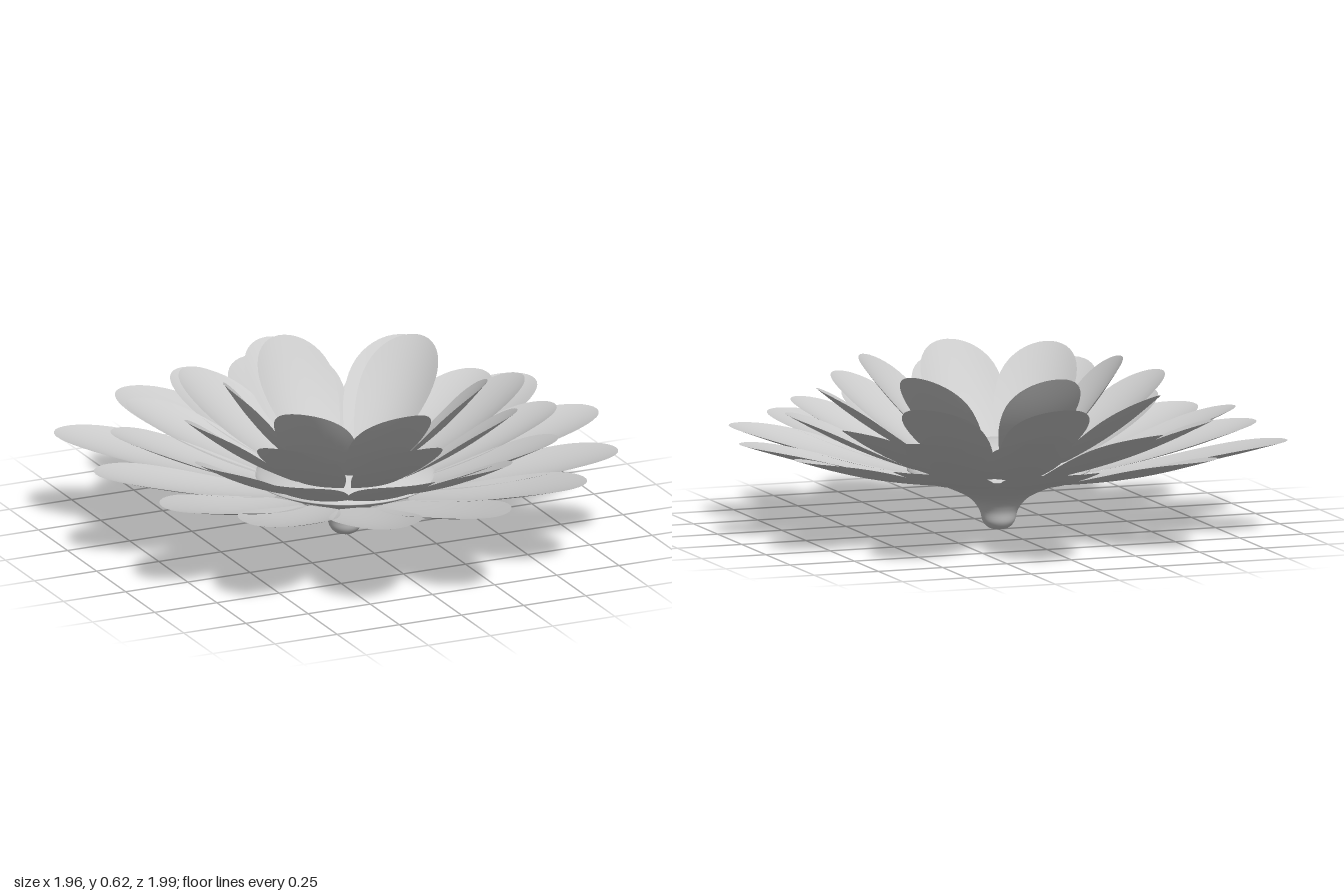
import * as THREE from 'three';

const material = new THREE.MeshStandardMaterial({ color: 0xcccccc, side: THREE.DoubleSide });

// Width along a petal: blunt base, widest past the middle, rounded tip
function outline(t) {
  const peak = 0.62;
  if (t > peak) return Math.sqrt(Math.max(0, 1 - ((t - peak) / (1 - peak)) ** 2));
  const body = 0.38 + 0.62 * Math.sin((t / peak) * Math.PI / 2);
  return body * Math.sqrt(Math.min(1, t / 0.06));
}

// Cupped petal running from a base point to a tip point
function petalGeometry(base, tip, halfWidth, cup, sag) {
  const along = tip.clone().sub(base);
  const side = new THREE.Vector3(-along.z, 0, along.x).normalize();
  const normal = side.clone().cross(along).normalize();
  if (normal.y < 0) normal.negate();
  const rows = 24, cols = 12;
  const geometry = new THREE.PlaneGeometry(1, 1, cols, rows);
  const position = geometry.attributes.position;
  const p = new THREE.Vector3();
  for (let i = 0; i <= rows; i++) {
    const t = (1 - Math.cos((i / rows) * Math.PI)) / 2;
    const f = outline(t);
    for (let j = 0; j <= cols; j++) {
      const s = (j / cols) * 2 - 1;
      p.copy(base).addScaledVector(along, t)
        .addScaledVector(side, s * f * halfWidth)
        .addScaledVector(normal, cup * s * s * f * f - sag * Math.sin(Math.PI * t));
      position.setXYZ(i * (cols + 1) + j, p.x, p.y, p.z);
    }
  }
  geometry.computeVertexNormals();
  return geometry;
}

// Petal rings from the lowest to the innermost; tips are [x, z]
const rings = [
  { name: 'outerPetal', baseR: 0.27, baseY: 0.19, tipY: 0.355, half: 0.165, cup: 0.03, sag: 0.02,
    tips: [[0.09, -1], [0.6, -0.78], [0.91, -0.38], [0.98, 0.07], [0.85, 0.53], [0.58, 0.81], [0.15, 0.99],
      [-0.27, 0.95], [-0.67, 0.73], [-0.9, 0.42], [-0.98, -0.05], [-0.92, -0.54], [-0.5, -0.87]] },
  { name: 'lowerPetal', baseR: 0.24, baseY: 0.205, tipY: 0.44, half: 0.15, cup: 0.03, sag: 0.02,
    tips: [[0.13, -0.77], [0.53, -0.64], [0.68, -0.28], [0.76, 0.19], [0.6, 0.54], [0.3, 0.73], [-0.1, 0.77],
      [-0.5, 0.6], [-0.69, 0.27], [-0.84, -0.22], [-0.64, -0.51], [-0.32, -0.76]] },
  { name: 'upperPetal', baseR: 0.2, baseY: 0.23, tipY: 0.54, half: 0.155, cup: 0.03, sag: 0.02,
    tips: [[0, -0.68], [0.47, -0.49], [0.67, 0.1], [0.47, 0.46], [-0.02, 0.68], [-0.47, 0.47],
      [-0.66, 0.07], [-0.43, -0.49]] },
  { name: 'innerPetal', baseR: 0.15, baseY: 0.25, tipY: 0.62, half: 0.152, cup: 0.035, sag: 0.02,
    tips: [[-0.05, -0.47], [0.42, -0.26], [0.42, 0.32], [0, 0.54], [-0.34, 0.36], [-0.46, -0.05]] },
];

export function createModel() {
  const flower = new THREE.Group();
  flower.name = 'flower';

  // Receptacle: rounded stem stub flaring to a rim, closed by a low dome
  const underside = new THREE.SplineCurve([
    [0, 0], [0.035, 0.006], [0.058, 0.03], [0.072, 0.075], [0.11, 0.12], [0.19, 0.16], [0.28, 0.195], [0.335, 0.222],
  ].map(([x, y]) => new THREE.Vector2(x, y))).getPoints(36);
  const dome = new THREE.SplineCurve([
    [0.335, 0.222], [0.32, 0.238], [0.27, 0.263], [0.2, 0.295], [0.1, 0.325], [0, 0.335],
  ].map(([x, y]) => new THREE.Vector2(x, y))).getPoints(24);
  const profile = [...underside, ...dome.slice(1)];
  profile.forEach((v) => { v.x = Math.max(0, v.x); v.y = Math.max(0, v.y); });
  const receptacle = new THREE.Mesh(new THREE.LatheGeometry(profile, 48), material);
  receptacle.name = 'receptacle';
  flower.add(receptacle);

  // Petals
  for (const ring of rings) {
    const group = new THREE.Group();
    group.name = ring.name + 's';
    for (const [x, z] of ring.tips) {
      const r = Math.hypot(x, z);
      const base = new THREE.Vector3((x / r) * ring.baseR, ring.baseY, (z / r) * ring.baseR);
      const tip = new THREE.Vector3(x, ring.tipY, z);
      const petal = new THREE.Mesh(petalGeometry(base, tip, ring.half, ring.cup, ring.sag), material);
      petal.name = ring.name;
      group.add(petal);
    }
    flower.add(group);
  }
  return flower;
}
